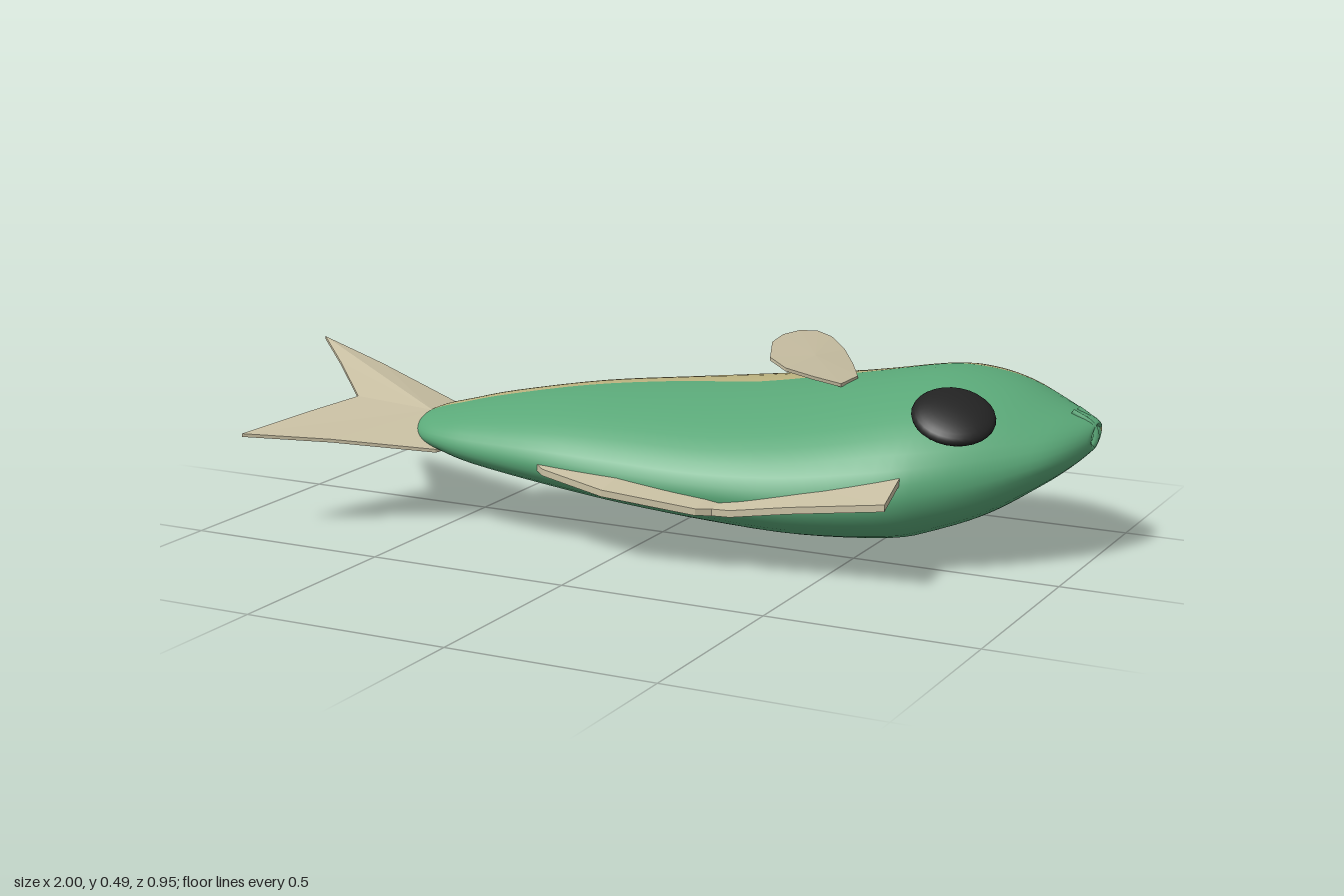
import * as THREE from 'three';

const mat = (name, color, side = THREE.FrontSide) => {
  const m = new THREE.MeshStandardMaterial({ color, side });
  m.name = name;
  return m;
};

// Lens-like blade: a fan from a thick apex to a thin outline of [x, z] points
function blade(outline, yAt, [ax, az, thick], edge, place = (v) => v) {
  const pos = [];
  const pt = (x, z, dy) => place(new THREE.Vector3(x, yAt(x, z) + dy, z)).toArray();
  outline.forEach(([x0, z0], i) => {
    const [x1, z1] = outline[(i + 1) % outline.length];
    pos.push(...pt(ax, az, thick), ...pt(x0, z0, edge), ...pt(x1, z1, edge));
    pos.push(...pt(ax, az, -thick), ...pt(x1, z1, -edge), ...pt(x0, z0, -edge));
    pos.push(...pt(x0, z0, edge), ...pt(x0, z0, -edge), ...pt(x1, z1, edge));
    pos.push(...pt(x1, z1, edge), ...pt(x0, z0, -edge), ...pt(x1, z1, -edge));
  });
  const g = new THREE.BufferGeometry();
  g.setAttribute('position', new THREE.Float32BufferAttribute(pos, 3));
  g.computeVertexNormals();
  return g;
}

// Body stations: x, belly z, back z, lowest y, highest y, z of the colour split
const STATIONS = [
  [-0.605, 0.11, 0.11, 0.245, 0.245, 0.11],
  [-0.595, 0.07, 0.16, 0.22, 0.265, 0.12],
  [-0.56, 0.015, 0.2, 0.203, 0.282, 0.105],
  [-0.5, -0.025, 0.227, 0.188, 0.297, 0.09],
  [-0.4, -0.08, 0.248, 0.165, 0.32, 0.062],
  [-0.2, -0.185, 0.266, 0.135, 0.35, -0.01],
  [0, -0.295, 0.26, 0.105, 0.363, -0.09],
  [0.2, -0.4, 0.24, 0.08, 0.375, -0.135],
  [0.4, -0.465, 0.205, 0.062, 0.392, -0.25],
  [0.6, -0.478, 0.148, 0.066, 0.425, -0.305],
  [0.7, -0.468, 0.1, 0.09, 0.427, -0.312],
  [0.8, -0.437, 0.03, 0.13, 0.407, -0.335],
  [0.9, -0.385, -0.06, 0.193, 0.367, -0.345],
  [0.95, -0.347, -0.125, 0.23, 0.346, -0.34],
  [0.982, -0.318, -0.195, 0.26, 0.332, -0.33],
  [0.988, -0.3, -0.235, 0.275, 0.322, -0.33],
  [0.95, -0.28, -0.27, 0.297, 0.303, -0.33],
];

// Leaning oval rings, with the vertices placed on the colour split
function bodyGeometry() {
  const A = new THREE.CatmullRomCurve3(STATIONS.map((s) => new THREE.Vector3(s[0], s[1], s[2])), false, 'catmullrom');
  const B = new THREE.CatmullRomCurve3(STATIONS.map((s) => new THREE.Vector3(s[3], s[4], s[5])), false, 'catmullrom');
  const rings = (STATIONS.length - 1) * 4, half = 22, n = half * 2, lean = 0.33;
  const pos = [], upper = [], belly = [];
  for (let i = 0; i <= rings; i++) {
    const { x, y: zBelly, z: zBack } = A.getPoint(i / rings);
    const { x: yLow, y: yHigh, z: split } = B.getPoint(i / rings);
    const zc = (zBelly + zBack) / 2, rz = (zBack - zBelly) / 2;
    const yc = (yLow + yHigh) / 2, ry = (yHigh - yLow) / 2;
    const ub = Math.acos(THREE.MathUtils.clamp((split - zc) / Math.max(rz, 1e-4), -0.985, 0.9));
    for (let j = 0; j < n; j++) {
      const u = j < half ? -ub + (2 * ub * j) / half
        : ub + (2 * (Math.PI - ub) * (j - half)) / half;
      pos.push(x, yc + ry * Math.sin(u - lean), zc + rz * Math.cos(u));
    }
  }
  for (let i = 0; i < rings; i++) for (let j = 0; j < n; j++) {
    const k = (j + 1) % n, a = i * n, b = a + n;
    (j < half ? upper : belly).push(a + j, b + j, a + k, b + j, b + k, a + k);
  }
  const g = new THREE.BufferGeometry();
  g.setAttribute('position', new THREE.Float32BufferAttribute(pos, 3));
  g.setIndex([...upper, ...belly]);
  g.addGroup(0, upper.length, 0);
  g.addGroup(upper.length, belly.length, 1);
  g.computeVertexNormals();
  return g;
}

// Long back fin: a thin strip of rectangular sections [x, outer z, outer y, base z]
function backFinGeometry() {
  const rows = [
    [-0.2, 0.262, 0.205, 0.22], [-0.17, 0.285, 0.2, 0.22], [0.01, 0.33, 0.182, 0.22],
    [0.23, 0.29, 0.155, 0.2], [0.26, 0.265, 0.152, 0.19], [0.31, 0.275, 0.157, 0.18],
    [0.45, 0.268, 0.18, 0.15], [0.68, 0.26, 0.212, 0.08],
  ];
  const pos = [], index = [], t = 0.008;
  rows.forEach(([x, z, y, zb], i) => {
    const xb = i === rows.length - 1 ? x - 0.03 : x, yb = y + (z - zb) * 0.16;
    pos.push(x, y - t, z, x, y + t, z, xb, yb + t, zb, xb, yb - t, zb);
    if (i === 0) return;
    for (let j = 0; j < 4; j++) {
      const a = (i - 1) * 4, b = i * 4, k = (j + 1) % 4;
      index.push(a + j, b + j, a + k, b + j, b + k, a + k);
    }
  });
  const e = (rows.length - 1) * 4;
  index.push(0, 1, 2, 0, 2, 3, e, e + 2, e + 1, e, e + 3, e + 2);
  const g = new THREE.BufferGeometry();
  g.setAttribute('position', new THREE.Float32BufferAttribute(pos, 3));
  g.setIndex(index);
  const flat = g.toNonIndexed();
  flat.computeVertexNormals();
  return flat;
}

export function createModel() {
  const model = new THREE.Group();
  model.name = 'fish';
  const green = mat('green skin', 0x5aa878);
  const tan = mat('tan belly', 0xbcb380);
  const cream = mat('cream fin', 0xc9c0a3, THREE.DoubleSide);
  const black = mat('black eye', 0x222222);
  const add = (name, geometry, material) => {
    const m = new THREE.Mesh(geometry, material);
    m.name = name;
    model.add(m);
    return m;
  };

  add('body', bodyGeometry(), [green, tan]);
  add('backFin', backFinGeometry(), cream);

  // Forked tail
  const tail = [[-0.5, 0.02], [-0.57, -0.01], [-0.82, -0.04], [-1, -0.05], [-0.9, 0.03],
    [-0.78, 0.135], [-0.83, 0.28], [-0.89, 0.47], [-0.72, 0.345], [-0.51, 0.21], [-0.47, 0.12]];
  add('tail', blade(tail, (x, z) => 0.23 - 0.277 * (x + 0.55) - 0.2 * (z - 0.1), [-0.58, 0.11, 0.035], 0.004), cream);

  // Side fins, the lower one mirrored through the leaning middle plane
  const fin = [[0.24, -0.1], [0.245, -0.15], [0.265, -0.205], [0.295, -0.245], [0.325, -0.258],
    [0.365, -0.245], [0.4, -0.215], [0.425, -0.185], [0.41, -0.12], [0.355, -0.08],
    [0.3, -0.045], [0.26, -0.045]];
  const finY = (x, z) => 0.475 - 0.55 * (x - 0.25) - 0.25 * (z + 0.12);
  const n = new THREE.Vector3(0, Math.cos(0.16), Math.sin(0.16));
  const p = new THREE.Vector3(0, 0.25, -0.18);
  const mirror = (v) => v.addScaledVector(n, -2 * n.dot(v.clone().sub(p)));
  add('upperSideFin', blade(fin, finY, [0.33, -0.15, 0.008], 0.004), cream);
  add('lowerSideFin', blade(fin, finY, [0.33, -0.15, 0.008], 0.004, mirror), cream);

  // Single eye lying on the upper side of the head
  const eye = add('eye', new THREE.SphereGeometry(1, 28, 16), black);
  eye.scale.set(0.097, 0.03, 0.097);
  eye.position.set(0.725, 0.363, -0.035);
  eye.quaternion.setFromUnitVectors(new THREE.Vector3(0, 1, 0), new THREE.Vector3(0.28, 1, 0.45).normalize());

  // Thin lips either side of the mouth slit
  for (const [name, z, x] of [['upperLip', -0.258, 0.992], ['lowerLip', -0.298, 0.982]]) {
    const path = new THREE.CatmullRomCurve3([
      new THREE.Vector3(0.935, 0.245, z - 0.008), new THREE.Vector3(x - 0.012, 0.27, z),
      new THREE.Vector3(x, 0.3, z), new THREE.Vector3(x - 0.012, 0.325, z), new THREE.Vector3(0.935, 0.352, z + 0.008),
    ]);
    add(name, new THREE.TubeGeometry(path, 16, 0.008, 8), green);
  }
  return model;
}
